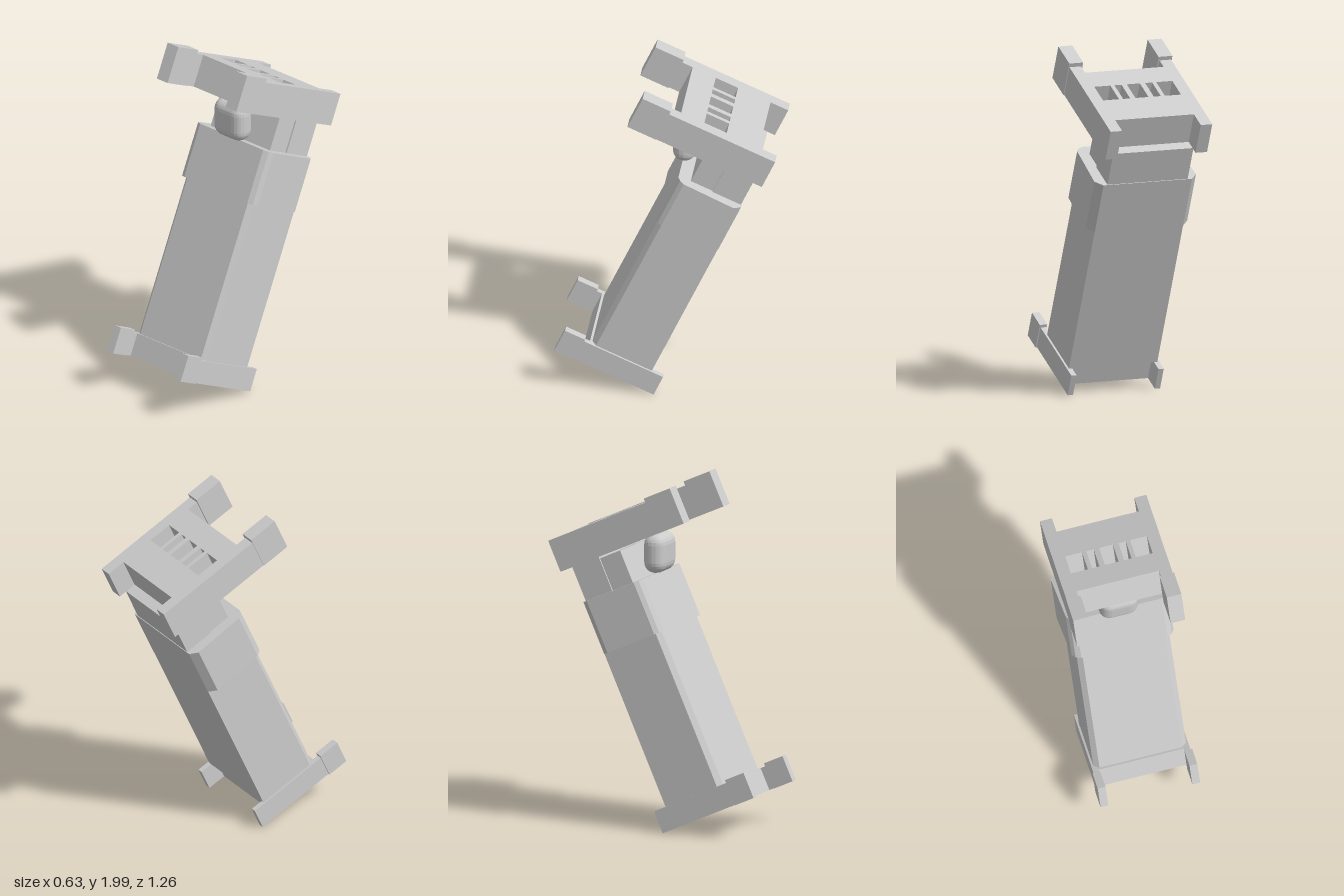
import * as THREE from 'three';
import { RoundedBoxGeometry } from 'three/addons/geometries/RoundedBoxGeometry.js';

const material = new THREE.MeshStandardMaterial({ color: 0xcccccc, flatShading: true });

// Extrude a closed x/z cross-section along y, from y0 to y1
function extrudeUp(name, points, y0, y1, holes = []) {
  const toVec = ([x, z]) => new THREE.Vector2(x, z);
  const shape = new THREE.Shape(points.map(toVec));
  holes.forEach(h => shape.holes.push(new THREE.Path(h.map(toVec))));
  const geometry = new THREE.ExtrudeGeometry(shape, { depth: y1 - y0, bevelEnabled: false });
  geometry.rotateX(Math.PI / 2).translate(0, y1, 0);
  const mesh = new THREE.Mesh(geometry, material);
  mesh.name = name;
  return mesh;
}

const rect = (x0, x1, z0, z1) => [[x0, z0], [x1, z0], [x1, z1], [x0, z1]];

// Complete a right-hand half outline (back to front) by mirroring it across x = 0
const mirrored = half => [...half, ...half.map(([x, z]) => [-x, z]).reverse()];

// End board: H-shaped panel with slots, and a thicker cap on each post
function endBoard(name, o) {
  const board = new THREE.Group();
  board.name = name;
  const outline = mirrored([
    [o.inner, o.panel[0]], [o.inner, o.post[0]], [o.outer, o.post[0]],
    [o.outer, o.post[1]], [o.inner, o.post[1]], [o.inner, o.panel[1]],
  ]);
  const slots = [];
  o.slots.forEach(([a, b]) => slots.push(rect(a, b, ...o.slotZ)));
  board.add(extrudeUp(name + 'Panel', outline, ...o.y, slots));
  for (const side of [-1, 1]) {
    const [a, b] = o.cap.map(x => x * side).sort((p, q) => p - q);
    board.add(extrudeUp(name + 'PostCap', rect(a, b, ...o.capZ), ...o.capY));
  }
  return board;
}

export function createModel() {
  const model = new THREE.Group();
  model.name = 'tiltedBed';

  // The bed is built on end, its sleeping side facing +z, then leaned back
  const bed = new THREE.Group();
  bed.name = 'bed';
  bed.rotation.x = THREE.MathUtils.degToRad(-24);
  model.add(bed);

  bed.add(endBoard('headboard', {
    inner: 0.24, outer: 0.31, post: [0.09, 0.752], panel: [0.2, 0.685], y: [1.562, 1.75],
    slots: [[-0.24 + 0.002, -0.14], [-0.115, -0.072], [-0.04, 0.04], [0.072, 0.115], [0.14, 0.238]],
    slotZ: [0.402, 0.541], cap: [0.23, 0.315], capZ: [0.75, 0.925], capY: [1.562, 1.775],
  }));

  bed.add(endBoard('footboard', {
    inner: 0.25, outer: 0.282, post: [0.063, 0.556], panel: [0.172, 0.522], y: [-0.02, 0.113],
    slots: [[-0.245, -0.15], [-0.13, -0.042], [-0.028, 0.028], [0.042, 0.13], [0.15, 0.245]],
    slotZ: [0.305, 0.41], cap: [0.245, 0.29], capZ: [0.555, 0.68], capY: [-0.022, 0.131],
  }));

  // Base and mattress, exposed only at the head end
  bed.add(extrudeUp('base', rect(-0.245, 0.245, 0.137, 0.315), 0.112, 1.563));
  bed.add(extrudeUp('mattress', rect(-0.235, 0.235, 0.314, 0.45), 0.112, 1.55));

  // Blanket with softened upper edges
  bed.add(extrudeUp('blanket', mirrored([
    [0.27, 0.135], [0.27, 0.482], [0.24, 0.508],
  ]), 0.112, 1.35));

  // Folded-over top of the blanket
  bed.add(extrudeUp('blanketFold', mirrored([
    [0.27, 0.133], [0.31, 0.175], [0.297, 0.485], [0.28, 0.51], [0.25, 0.525],
  ]), 1.04, 1.355));

  // Upright pillow
  const pillow = new THREE.Mesh(new RoundedBoxGeometry(0.23, 0.225, 0.133, 3, 0.062), material);
  pillow.name = 'pillow';
  pillow.position.set(0, 1.563, -0.08);
  model.add(pillow);

  return model;
}
